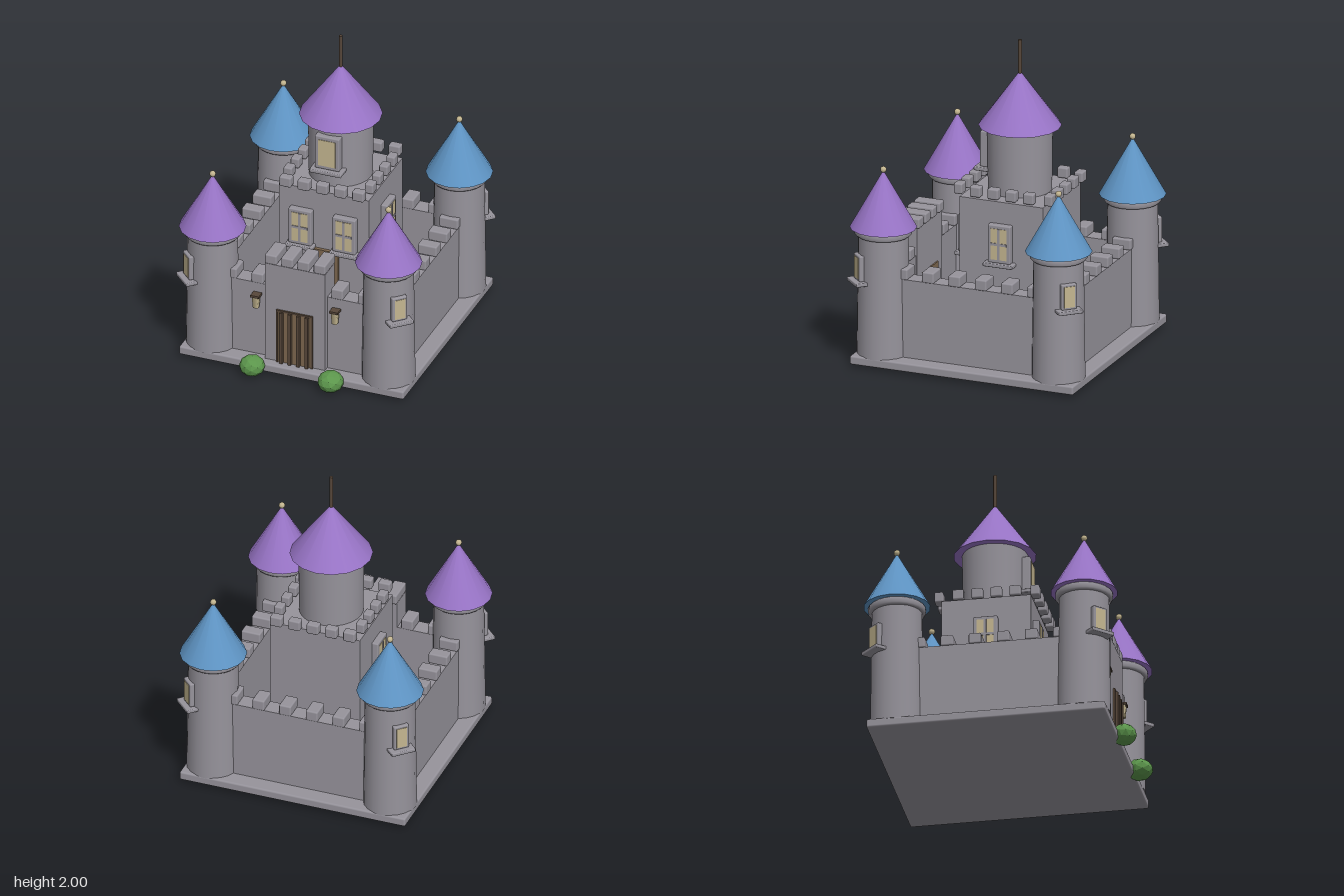
import * as THREE from 'three';
import { RoundedBoxGeometry } from 'three/addons/geometries/RoundedBoxGeometry.js';

function material(name, color, extra = {}) {
  const m = new THREE.MeshStandardMaterial({ color, ...extra });
  m.name = name;
  return m;
}

export function createModel() {
  const castle = new THREE.Group();
  castle.name = 'castle';

  const stone = material('stone', 0x96939b);
  const purple = material('purple roof', 0x9874c6);
  const blue = material('blue roof', 0x5f95c5);
  const glass = material('warm glass', 0xc4b690);
  const wood = material('wood', 0x7d674f);
  const darkWood = material('dark wood', 0x57473a);
  const leaf = material('leaf', 0x5c964c, { flatShading: true });

  // Helpers: every position is the part's centre
  function add(parent, name, geometry, mat, x = 0, y = 0, z = 0) {
    const mesh = new THREE.Mesh(geometry, mat);
    mesh.name = name;
    mesh.position.set(x, y, z);
    parent.add(mesh);
    return mesh;
  }
  const box = (parent, name, mat, w, h, d, x, y, z) =>
    add(parent, name, new THREE.BoxGeometry(w, h, d), mat, x, y, z);
  const block = (parent, name, w, h, d, x, y, z, r = 0.01) =>
    add(parent, name, new RoundedBoxGeometry(w, h, d, 2, r), stone, x, y, z);
  const cylinder = (parent, name, mat, rTop, rBottom, y0, y1, x, z, sides = 20) =>
    add(parent, name, new THREE.CylinderGeometry(rTop, rBottom, y1 - y0, sides), mat, x, (y0 + y1) / 2, z);
  const cone = (parent, name, mat, r, y0, y1, x, z) =>
    add(parent, name, new THREE.ConeGeometry(r, y1 - y0, 16), mat, x, (y0 + y1) / 2, z);

  // Window facing local +z; the origin is the sill top on the wall surface
  function addWindow(name, w, h, depth, sillWidth, sillDepth, cross, x, y, z, angle) {
    const win = new THREE.Group();
    win.name = name;
    win.position.set(x, y, z);
    win.rotation.y = angle;
    castle.add(win);
    const rim = w * 0.15;
    const paneW = w - 2 * rim, paneH = h - 2 * rim;
    block(win, 'windowFrame', w, h, depth + 0.03, 0, h / 2, (depth - 0.03) / 2, 0.008);
    box(win, 'windowPane', glass, paneW, paneH, 0.004, 0, h / 2, depth + 0.001);
    block(win, 'windowSill', sillWidth, 0.024, sillDepth + 0.03, 0, -0.01, (sillDepth - 0.03) / 2, 0.006);
    if (cross) {
      box(win, 'mullion', stone, 0.016, paneH, 0.008, 0, h / 2, depth + 0.003);
      box(win, 'transom', stone, paneW, 0.016, 0.008, 0, h / 2, depth + 0.003);
    }
  }

  // Base slab
  block(castle, 'base', 1.48, 0.057, 1.485, 0, 0.048, -0.035, 0.012);

  // Curtain walls with merlons
  const frontZ = 0.55, backZ = -0.615, midZ = (frontZ + backZ) / 2, sideX = 0.58;
  for (const z of [frontZ, backZ]) {
    box(castle, z > 0 ? 'frontWall' : 'backWall', stone, 1.16, 0.51, 0.112, 0, 0.325, z);
    for (let i = 0; i < 6; i++) {
      if (z > 0 && (i === 2 || i === 3)) continue;
      block(castle, 'wallMerlon', 0.078, 0.07, 0.124, (i - 2.5) * 0.175, 0.613, z);
    }
  }
  for (const s of [-1, 1]) {
    box(castle, s > 0 ? 'leftWall' : 'rightWall', stone, 0.112, 0.51, frontZ - backZ, s * sideX, 0.325, midZ);
    for (let i = 0; i < 6; i++) {
      block(castle, 'wallMerlon', 0.124, 0.07, 0.078, s * sideX, 0.613, midZ + (i - 2.5) * 0.175);
    }
  }

  // Corner towers, each with a diagonal window
  const collar = [[0.15, 0.838], [0.168, 0.838], [0.177, 0.848], [0.177, 0.876], [0.168, 0.886], [0.15, 0.886]]
    .map(([r, y]) => new THREE.Vector2(r, y));
  for (const s of [-1, 1]) {
    for (const z of [frontZ, backZ]) {
      const x = s * sideX, f = Math.sign(z);
      cylinder(castle, 'cornerTower', stone, 0.155, 0.165, 0.07, 0.86, x, z);
      add(castle, 'towerCollar', new THREE.LatheGeometry(collar, 24), stone, x, 0, z);
      cone(castle, 'towerRoof', f > 0 ? purple : blue, 0.207, 0.885, 1.25, x, z);
      add(castle, 'finial', new THREE.IcosahedronGeometry(0.02, 1), glass, x, 1.255, z);
      const d = 0.147 * Math.SQRT1_2;
      addWindow('towerWindow', 0.1, 0.165, 0.03, 0.16, 0.063, false,
        x + s * d, 0.56, z + f * d, Math.atan2(s, f));
    }
  }

  // Keep with overhanging merlons
  const keepZ = -0.1125;
  box(castle, 'keep', stone, 0.59, 0.97, 0.555, 0, 0.555, keepZ);
  for (let i = 0; i < 5; i++) {
    for (const z of [0.185, -0.413]) {
      block(castle, 'keepMerlon', 0.076, 0.068, 0.056, (i - 2) * 0.12, 1.081, z);
    }
  }
  for (const s of [-1, 1]) {
    for (let i = 0; i < 4; i++) {
      block(castle, 'keepMerlon', 0.056, 0.068, 0.07, s * 0.268, 1.081, keepZ + (i - 1.5) * 0.118);
    }
    addWindow('keepSideWindow', 0.15, 0.245, 0.04, 0.196, 0.065, true, s * 0.295, 0.655, keepZ, s * Math.PI / 2);
    addWindow('keepFrontWindow', 0.15, 0.245, 0.04, 0.09 * 2, 0.062, true, s * 0.145, 0.655, 0.165, 0);
  }
  box(castle, 'keepDoor', wood, 0.2, 0.56, 0.03, 0, 0.355, 0.172);

  // Round upper tower, roof and pole
  cylinder(castle, 'upperTower', stone, 0.203, 0.198, 1.03, 1.46, 0, keepZ, 24);
  cone(castle, 'upperRoof', purple, 0.256, 1.45, 1.8, 0, keepZ);
  cylinder(castle, 'flagPole', darkWood, 0.012, 0.012, 1.77, 2, 0, keepZ, 8);
  addWindow('upperWindow', 0.162, 0.23, 0.04, 0.21, 0.072, false, 0, 1.172, 0.081, 0);

  // Gatehouse with merlons and a barred gate
  box(castle, 'gatehouse', stone, 0.396, 0.685, 0.155, 0, 0.413, 0.5665);
  for (let i = 0; i < 4; i++) {
    block(castle, 'gatehouseMerlon', 0.078, 0.065, 0.172, (i - 1.5) * 0.107, 0.786, 0.56);
  }
  box(castle, 'gate', wood, 0.24, 0.37, 0.17, 0, 0.26, 0.565);
  for (const s of [-1, 1]) {
    box(castle, 'gatePost', darkWood, 0.012, 0.37, 0.01, s * 0.115, 0.26, 0.652);
  }
  box(castle, 'gateLintel', darkWood, 0.24, 0.012, 0.01, 0, 0.44, 0.652);
  for (let i = 0; i < 4; i++) {
    box(castle, 'gateBar', darkWood, 0.02, 0.36, 0.024, (i - 1.5) * 0.056, 0.255, 0.658);
  }

  // Lanterns beside the gate
  for (const s of [-1, 1]) {
    const x = s * 0.26, z = 0.633;
    const glow = cylinder(castle, 'lanternGlass', glass, 0.029, 0.022, 0.42, 0.5, x, z, 4);
    glow.rotation.y = Math.PI / 4;
    box(castle, 'lanternCap', darkWood, 0.056, 0.015, 0.056, x, 0.507, z);
    box(castle, 'lanternBracket', darkWood, 0.018, 0.018, 0.05, x, 0.492, 0.61);
  }

  // Bushes
  for (const [x, r, turn] of [[-0.245, 0.08, 0.3], [0.272, 0.084, 1.4]]) {
    const bush = add(castle, 'bush', new THREE.IcosahedronGeometry(1, 1), leaf, x, 0.067, 0.737);
    bush.scale.set(r, 0.067, r * 0.97);
    bush.rotation.y = turn;
  }

  return castle;
}
